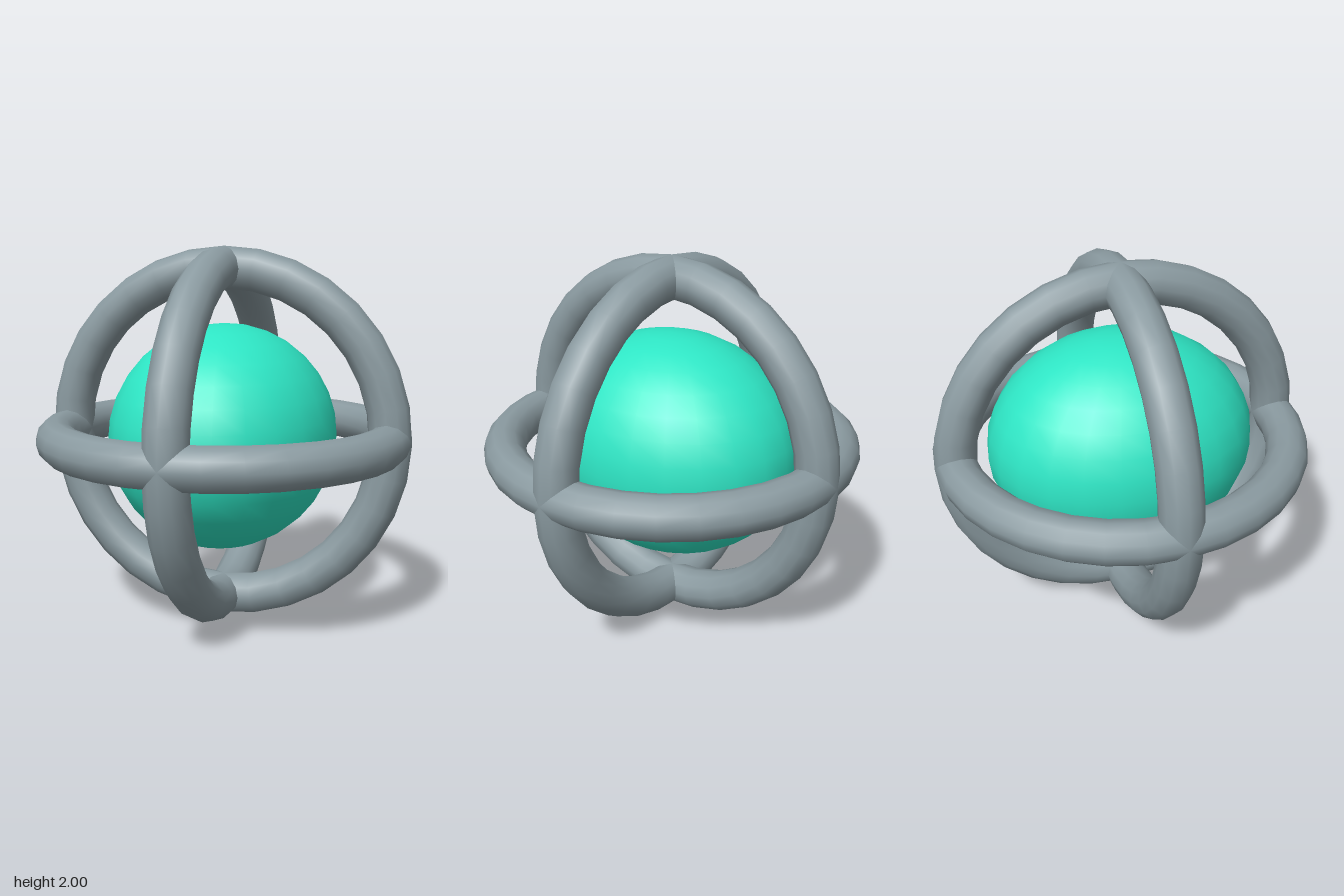
import * as THREE from 'three';

export function createModel() {
  const model = new THREE.Group();
  const cageMaterial = new THREE.MeshStandardMaterial({ color: 0x8a9aa0 });
  const coreMaterial = new THREE.MeshStandardMaterial({ color: 0x2ee6c5 });

  // Stretched core, longest from front to back
  const core = new THREE.Mesh(new THREE.SphereGeometry(0.6, 24, 16), coreMaterial);
  core.name = 'core';
  core.scale.z = 1.2;
  core.position.y = 1;
  model.add(core);

  // Cage of three equal rings, one across each axis
  const tube = 0.11;
  const ringGeometry = new THREE.TorusGeometry(1 - tube, tube, 12, 32);
  const rings = [
    ['frontRing', 0, 0],
    ['sideRing', 0, Math.PI / 2],
    ['levelRing', Math.PI / 2, 0],
  ];
  const cage = new THREE.Group();
  cage.name = 'cage';
  cage.position.y = 1;
  for (const [name, rx, ry] of rings) {
    const ring = new THREE.Mesh(ringGeometry, cageMaterial);
    ring.name = name;
    ring.rotation.set(rx, ry, 0);
    cage.add(ring);
  }
  model.add(cage);
  return model;
}
